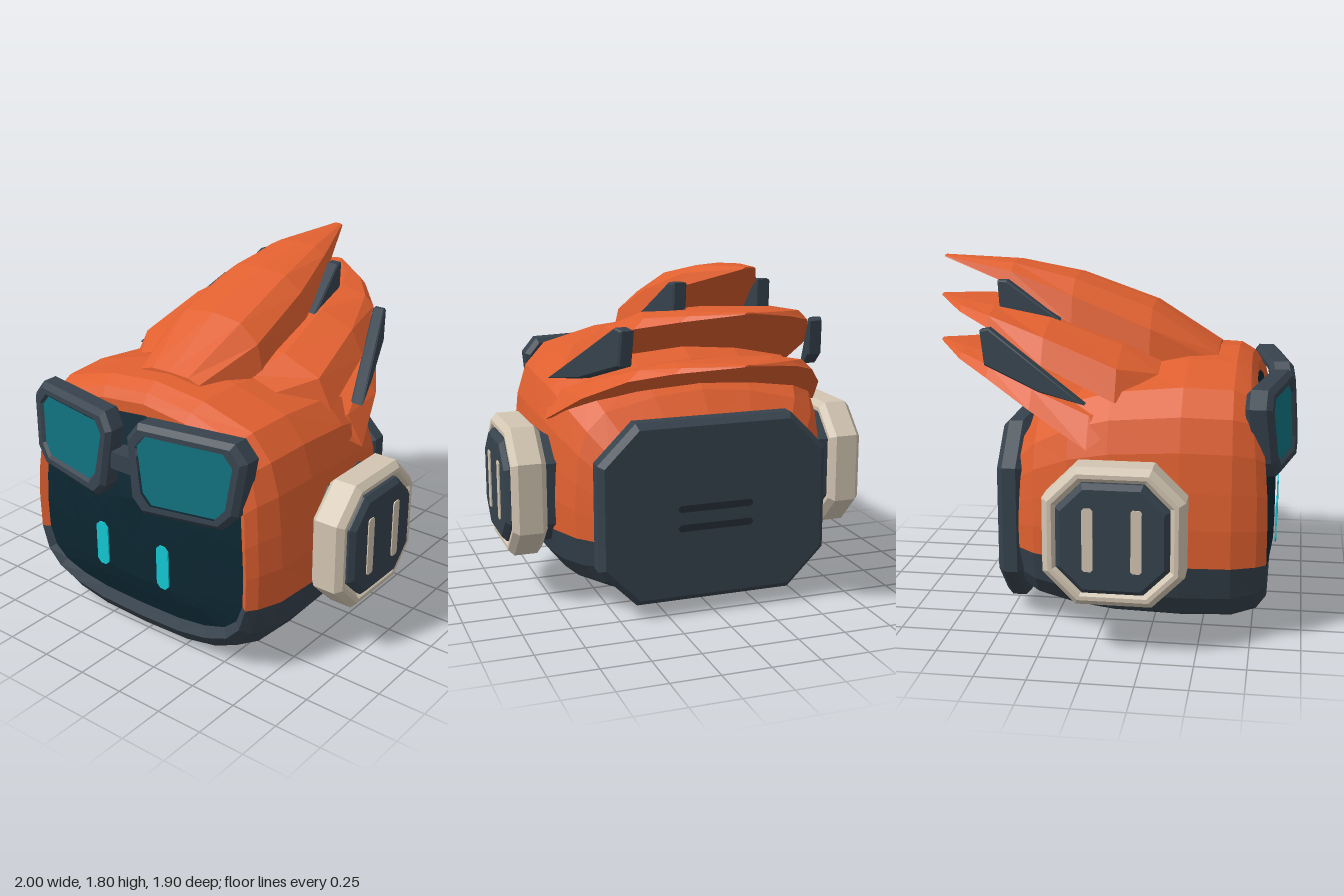
import * as THREE from 'three';

const mat = (name, color) => Object.assign(new THREE.MeshStandardMaterial({ color }), { name });

// Flat-shaded skin over closed rings (counter-clockwise from +z, ordered back to front).
function loft(rings, keep = () => true, capBack = false, capFront = false) {
  const pos = [];
  const n = rings[0].length;
  const tri = (...pts) => pts.forEach(p => pos.push(...p));
  for (let i = 0; i < rings.length - 1; i++) {
    for (let j = 0; j < n; j++) {
      if (!keep(j)) continue;
      const k = (j + 1) % n;
      const [a, b, c, d] = [rings[i][j], rings[i][k], rings[i + 1][k], rings[i + 1][j]];
      tri(a, b, c);
      tri(a, c, d);
    }
  }
  const cap = (ring, front) => {
    const mid = [0, 1, 2].map(q => ring.reduce((s, p) => s + p[q], 0) / n);
    ring.forEach((p, j) => {
      const next = ring[(j + 1) % n];
      if (front) tri(mid, p, next); else tri(mid, next, p);
    });
  };
  if (capBack) cap(rings[0], false);
  if (capFront) cap(rings[rings.length - 1], true);
  const g = new THREE.BufferGeometry();
  g.setAttribute('position', new THREE.Float32BufferAttribute(pos, 3));
  g.computeVertexNormals();
  return g;
}

// Extruded outline spanning z0..z1, with an optional bevel and hole.
function slab(points, z0, z1, bevel = 0, hole = null) {
  const toV = list => list.map(([x, y]) => new THREE.Vector2(x, y));
  const shape = new THREE.Shape(toV(points));
  if (hole) shape.holes.push(new THREE.Path(toV(hole)));
  const g = new THREE.ExtrudeGeometry(shape, {
    depth: z1 - z0 - 2 * bevel, bevelEnabled: bevel > 0,
    bevelSize: bevel, bevelThickness: bevel, bevelSegments: 1,
  });
  return g.translate(0, 0, z0 + bevel);
}

// Move each vertex by a rule.
function warp(g, rule) {
  const p = g.attributes.position;
  for (let i = 0; i < p.count; i++) p.setXYZ(i, ...rule(p.getX(i), p.getY(i), p.getZ(i)));
  g.computeVertexNormals();
  return g;
}

// Rectangle with cut corners.
const octagon = (w, h, c) => [
  [w, c - h], [w, h - c], [w - c, h], [c - w, h], [-w, h - c], [-w, c - h], [c - w, -h], [w - c, -h],
];

// Head cross-section: half outline from chin to crown, fitted to a width, bottom and top.
const HALF = [
  [0, 0.01], [0.3, 0.02], [0.5, 0.06], [0.65, 0.13], [0.74, 0.24], [0.785, 0.41], [0.79, 0.6],
  [0.78, 0.78], [0.76, 0.97], [0.71, 1.13], [0.6, 1.25], [0.3, 1.33], [0, 1.36],
];
const OUTLINE = [...HALF, ...HALF.slice(1, -1).reverse().map(([x, y]) => [-x, y])];
function headRing([z, sx, bottom, top, lean = 0]) {
  return OUTLINE.map(([x, y]) => {
    const k = y > 0.41 ? (top - 0.41) / 0.95 : (0.41 - bottom) / 0.4;
    const yy = 0.41 + (y - 0.41) * k;
    return [x * sx, yy, z - lean * Math.max(0, (yy - 0.6) / 0.7) ** 2];
  });
}

// Hair layer: arched sections [z, halfWidth, edgeY, topY].
const ARCH = [[1, 0], [0.88, 0.6], [0.55, 0.93], [0, 1], [-0.55, 0.93], [-0.88, 0.6], [-1, 0],
  [-0.5, 0.22], [0, 0.32], [0.5, 0.22]];
const hairLayer = stations => loft(
  stations.map(([z, w, y0, y1]) => ARCH.map(([u, v]) => [u * w, y0 + v * (y1 - y0), z])),
  undefined, true, true);

export function createModel() {
  const model = new THREE.Group();
  const orange = mat('orange', 0xe06030);
  const slate = mat('slate', 0x36424d);
  const cream = mat('cream', 0xd2c5b2);
  const visorDark = mat('visor dark', 0x0c2631);
  const teal = mat('lens teal', 0x10707e);
  const cyan = mat('eye cyan', 0x12c6d2);
  const slotDark = mat('slot dark', 0x222a32);

  const add = (name, geometry, material, parent = model) => {
    const m = new THREE.Mesh(geometry, material);
    m.name = name;
    parent.add(m);
    return m;
  };

  // Head shell with raised rim around the visor, dark below the cheek line
  const rings = [
    [-0.44, 0.74, 0.11, 0.99], [-0.33, 0.86, 0.06, 1.13], [-0.15, 0.95, 0.03, 1.26],
    [0.05, 0.985, 0.01, 1.33], [0.4, 1, 0.005, 1.37], [0.65, 0.98, 0.015, 1.36, 0.01],
    [0.77, 0.92, 0.05, 1.32, 0.06], [0.82, 0.87, 0.12, 1.27, 0.09], [0.795, 0.825, 0.18, 1.21, 0.08],
  ].map(headRing);
  const isChin = j => j < 5 || j >= 19;
  add('hood', loft(rings, j => !isChin(j)), orange);
  add('chin', loft(rings, isChin), slate);

  // Domed visor
  add('visor', loft([
    [0.795, 0.825, 0.18, 1.21, 0.08], [0.825, 0.55, 0.28, 1.0, 0.08], [0.842, 0.28, 0.36, 0.8, 0.08],
  ].map(headRing), undefined, false, true), visorDark);

  // Swept-back hair, top to bottom
  add('hairTop', hairLayer([
    [-0.92, 0.03, 1.8, 1.81], [-0.53, 0.2, 1.68, 1.79], [-0.2, 0.29, 1.5, 1.73],
    [0.2, 0.32, 1.32, 1.59], [0.54, 0.21, 1.31, 1.375],
  ]), orange);
  add('hairMiddle', hairLayer([
    [-0.94, 0.03, 1.595, 1.605], [-0.78, 0.28, 1.55, 1.595], [-0.6, 0.45, 1.5, 1.585],
    [-0.3, 0.58, 1.34, 1.55], [0.07, 0.64, 1.18, 1.43], [0.26, 0.5, 1.2, 1.345],
  ]), orange);
  add('hairLower', hairLayer([
    [-0.95, 0.03, 1.355, 1.365], [-0.78, 0.31, 1.31, 1.355], [-0.6, 0.48, 1.25, 1.34],
    [-0.35, 0.64, 1.13, 1.28], [-0.05, 0.755, 0.97, 1.22], [0.02, 0.72, 1.02, 1.2],
  ]), orange);

  // Rear plate with two vent slots
  add('backPlate', slab(octagon(0.58, 0.44, 0.18), -0.53, -0.4, 0.03).translate(0, 0.55, 0), slate);
  for (const y of [0.47, 0.57])
    add('backSlot', slab(octagon(0.2, 0.018, 0.012), -0.534, -0.528).translate(0, y, 0), slotDark);

  const frame = [[0.12, 1.235], [0.6, 1.235], [0.655, 1.17], [0.625, 0.92], [0.56, 0.85],
    [0.16, 0.835], [0.11, 0.89], [0.075, 1.17]];
  const lens = [[0.16, 1.21], [0.57, 1.21], [0.62, 1.15], [0.595, 0.94], [0.54, 0.875],
    [0.2, 0.865], [0.15, 0.92], [0.11, 1.15]];

  for (const s of [1, -1]) {
    const side = s > 0 ? 'left' : 'right';
    const flip = pts => pts.map(([x, y]) => [x * s, y]);

    // Goggles, angled back toward the temples
    const tilt = g => warp(g, (x, y, z) =>
      [x, y, z - 0.18 * (Math.abs(x) - 0.1) - 0.09 * (y - 1.04)]);
    add(side + 'GoggleFrame', tilt(slab(flip(frame), 0.81, 0.94, 0.025, flip(lens))), slate);
    add(side + 'GoggleLens', tilt(slab(flip(lens), 0.917, 0.925)), teal);

    // Eye
    const eye = slab(octagon(0.038, 0.12, 0.022), 0.852, 0.86).translate(s * 0.2, 0.49, 0);
    add(side + 'Eye', eye, cyan);

    // Ear pod
    const ear = new THREE.Group();
    ear.name = side + 'Ear';
    ear.position.set(0, 0.605, 0.11);
    ear.rotation.y = s * Math.PI / 2;
    model.add(ear);
    add('earMount', slab(octagon(0.28, 0.28, 0.12), 0.68, 0.82), slate, ear);
    add('earRing', slab(octagon(0.31, 0.31, 0.14), 0.79, 0.97, 0.03,
      octagon(0.29, 0.29, 0.13)), cream, ear);
    add('earDisc', slab(octagon(0.245, 0.245, 0.11), 0.8, 0.994, 0.025), slate, ear);
    for (const x of [-0.115, 0.115])
      add('earTrim', slab(octagon(0.026, 0.155, 0.01), 0.993, 1).translate(x, 0, 0), cream, ear);

    // Dark fins between the hair layers: side outline in (z, y), slanting inward to the rear
    const fin = (pts, base, slope) => warp(
      slab(pts, -0.035, 0.035, 0.008).rotateY(-Math.PI / 2),
      (x, y, z) => [x + s * (base + slope * z), y, z]);
    add(side + 'UpperFin', fin([[0.02, 1.34], [-0.1, 1.36], [-0.57, 1.55], [-0.58, 1.7],
      [-0.54, 1.7]], 0.33, 0.2), slate);
    add(side + 'LowerFin', fin([[-0.07, 1.19], [-0.3, 1.23], [-0.59, 1.33], [-0.61, 1.49],
      [-0.57, 1.5]], 0.73, 0.4), slate);
  }

  // Goggle bridge
  const bridge = new THREE.BoxGeometry(0.14, 0.09, 0.1);
  add('goggleBridge', bridge.translate(0, 1.02, 0.86), slate);

  return model;
}
